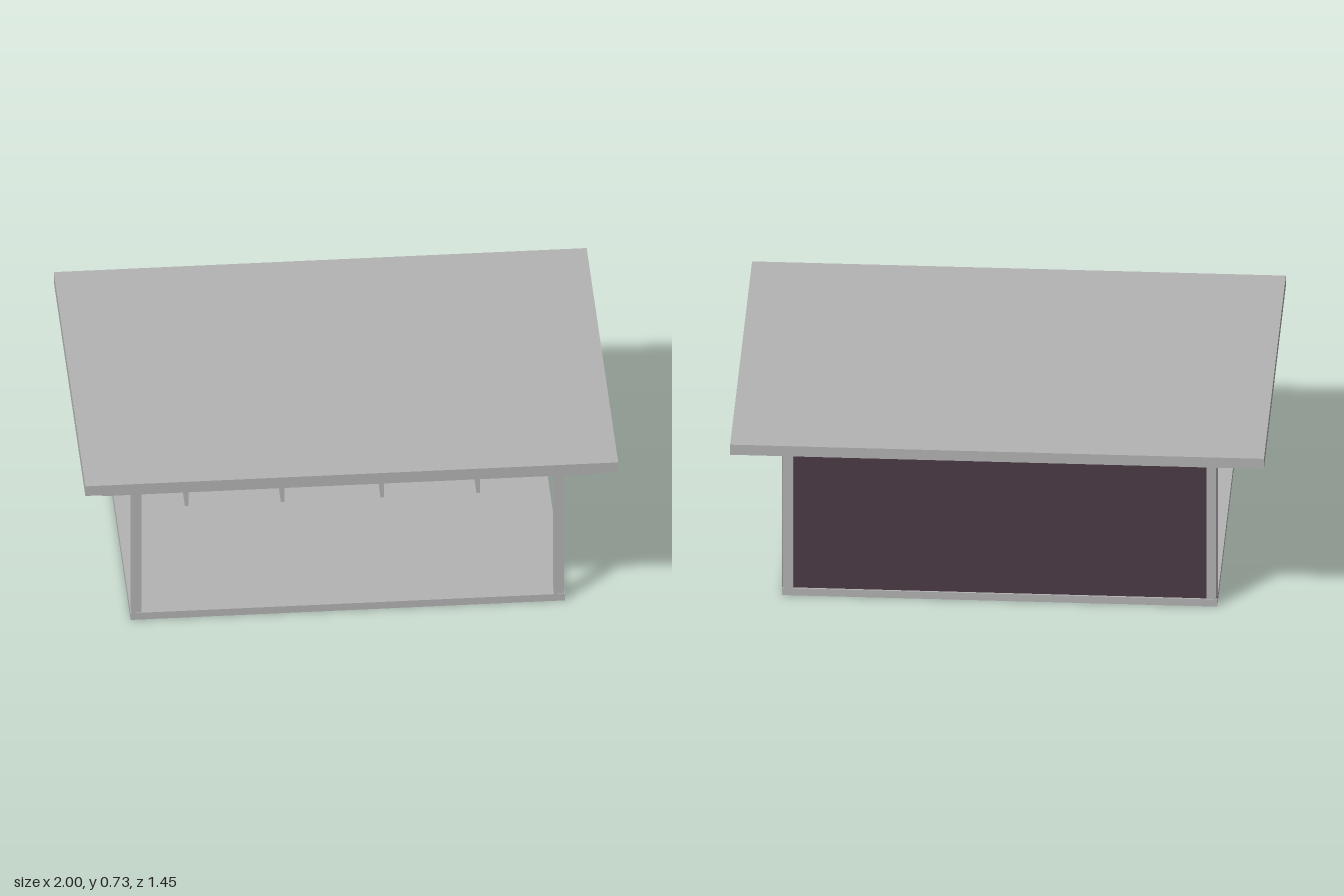
import * as THREE from 'three';

const grey = new THREE.MeshStandardMaterial({ color: 0xb4b4b4 });
grey.name = 'light grey';
const plum = new THREE.MeshStandardMaterial({ color: 0x4d3b45 });
plum.name = 'dark plum';
const glass = new THREE.MeshStandardMaterial({ color: 0x6e6e6e });
glass.name = 'window grey';

// Box given by its min and max on each axis
function box(parent, name, material, [x0, x1], [y0, y1], [z0, z1]) {
  const mesh = new THREE.Mesh(new THREE.BoxGeometry(x1 - x0, y1 - y0, z1 - z0), material);
  mesh.position.set((x0 + x1) / 2, (y0 + y1) / 2, (z0 + z1) / 2);
  mesh.name = name;
  parent.add(mesh);
  return mesh;
}

function createBench() {
  const bench = new THREE.Group();
  bench.name = 'bench';
  box(bench, 'seat', grey, [-0.204, 0.204], [0.122, 0.134], [-0.253, -0.156]);
  box(bench, 'backrest', grey, [-0.204, 0.204], [0.155, 0.235], [-0.255, -0.246]);
  for (const x of [-0.18, 0.18]) {
    box(bench, 'benchLeg', grey, [x - 0.007, x + 0.007], [0.03, 0.122], [-0.25, -0.16]);
    box(bench, 'backSupport', grey, [x - 0.005, x + 0.005], [0.134, 0.155], [-0.254, -0.247]);
  }
  return bench;
}

function createWindow() {
  const window = new THREE.Group();
  window.name = 'window';
  box(window, 'pane', glass, [-0.227, 0.227], [0.255, 0.595], [-0.508, -0.5]);
  // Thin glazing bars
  for (const x of [-0.076, 0.076]) {
    box(window, 'glazingBar', grey, [x - 0.002, x + 0.002], [0.255, 0.595], [-0.502, -0.498]);
  }
  box(window, 'crossBar', grey, [-0.227, 0.227], [0.4255, 0.4285], [-0.502, -0.4985]);
  return window;
}

export function createModel() {
  const model = new THREE.Group();
  model.name = 'shelter';

  // Floor, roof and back wall
  box(model, 'floor', grey, [-0.815, 0.815], [0, 0.03], [-0.545, 0.545]);
  box(model, 'roof', grey, [-1, 1], [0.687, 0.73], [-0.727, 0.727]);
  box(model, 'backWall', plum, [-0.814, 0.814], [0.03, 0.687], [-0.538, -0.518]);

  // Corner posts
  for (const x of [-0.793, 0.793]) {
    for (const z of [-0.524, 0.524]) {
      box(model, 'post', grey, [x - 0.019, x + 0.019], [0.03, 0.687], [z - 0.019, z + 0.019]);
    }
  }

  // Light strip under the front eave
  box(model, 'lightStrip', grey, [-0.935, 0.935], [0.668, 0.68], [0.693, 0.705]);

  // Windows along the wall
  for (const x of [-0.547, 0, 0.547]) {
    const window = createWindow();
    window.position.x = x;
    model.add(window);
  }

  // Pair of benches
  for (const x of [-0.367, 0.367]) {
    const bench = createBench();
    bench.position.x = x;
    model.add(bench);
  }
  return model;
}
